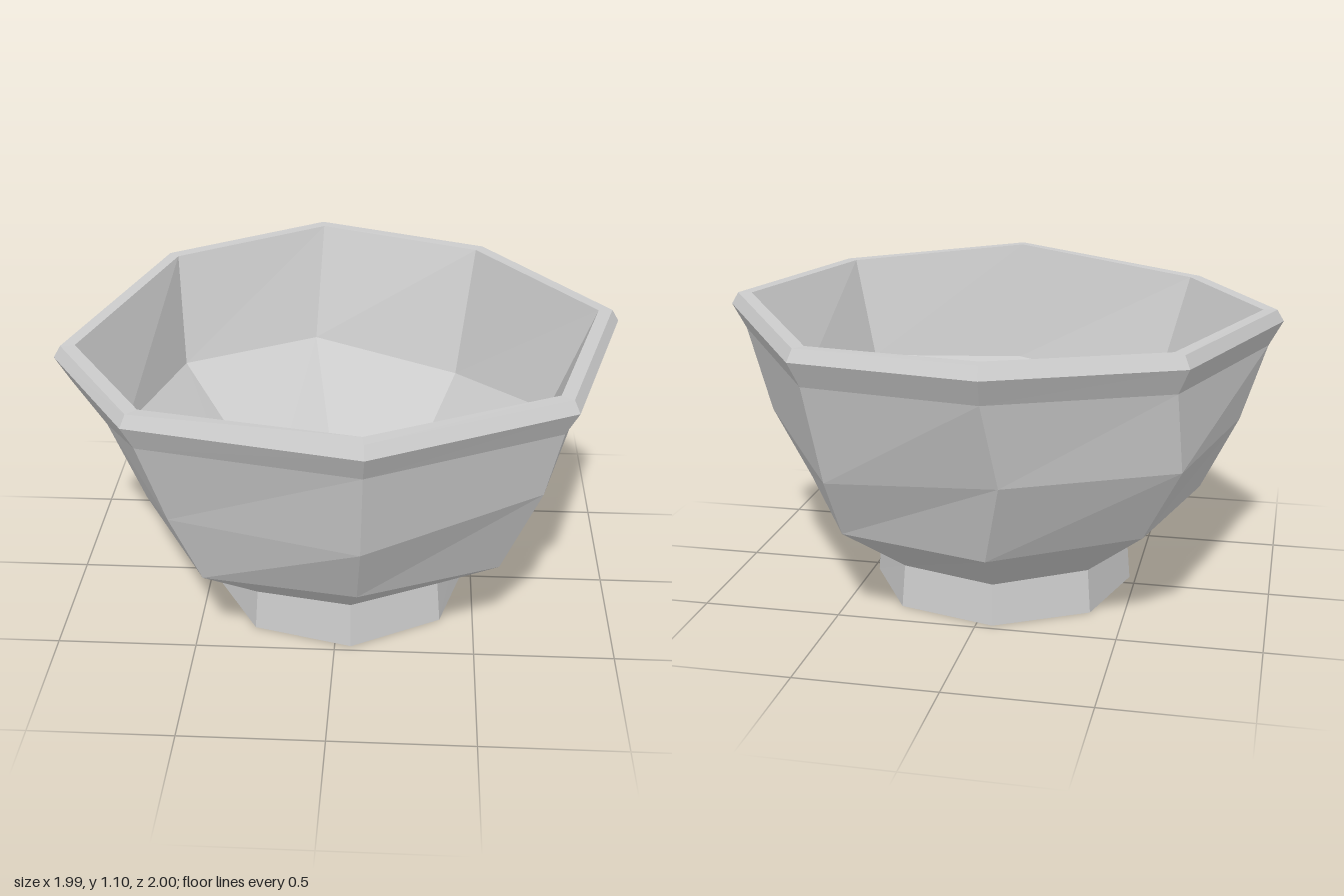
import * as THREE from 'three';

const SIDES = 8;
const START = THREE.MathUtils.degToRad(7);

// Regular octagonal ring, counted from the front towards +x, with a height per corner
function octagon(radius, heights, start = START) {
  return heights.map((y, i) => {
    const a = start + (i / SIDES) * Math.PI * 2;
    return [Math.sin(a) * radius, y, Math.cos(a) * radius];
  });
}

// Copy of a ring, scaled sideways and shifted in height
const offset = (ring, scale, dy) => ring.map(([x, y, z]) => [x * scale, y + dy, z * scale]);

// Faceted skin joining consecutive rings, with an optional fan closing one end
function skin(name, rings, cap) {
  const pos = [];
  for (let j = 0; j < rings.length - 1; j++) {
    for (let i = 0; i < SIDES; i++) {
      const k = (i + 1) % SIDES;
      const a = rings[j][i], b = rings[j][k], c = rings[j + 1][k], d = rings[j + 1][i];
      pos.push(...a, ...b, ...c, ...a, ...c, ...d);
    }
  }
  if (cap) {
    const ring = cap.end === 'first' ? rings[0] : rings[rings.length - 1];
    for (let i = 0; i < SIDES; i++) {
      const p = ring[i], q = ring[(i + 1) % SIDES];
      if (cap.end === 'first') pos.push(0, cap.y, 0, ...q, ...p);
      else pos.push(0, cap.y, 0, ...p, ...q);
    }
  }
  const geometry = new THREE.BufferGeometry();
  geometry.setAttribute('position', new THREE.Float32BufferAttribute(pos, 3));
  geometry.computeVertexNormals();
  const mesh = new THREE.Mesh(geometry, new THREE.MeshStandardMaterial({ color: 0xcccccc, flatShading: true }));
  mesh.name = name;
  return mesh;
}

export function createModel() {
  // Rings from the foot upwards; the belly and lip are uneven, as if hand-carved
  const footBottom = octagon(0.48, Array(SIDES).fill(0));
  const footTop = octagon(0.465, [0.17, 0.155, 0.18, 0.155, 0.15, 0.16, 0.18, 0.15]);
  const lowerBelly = octagon(0.73, [0.387, 0.343, 0.372, 0.343, 0.343, 0.36, 0.372, 0.345]);
  const belly = [
    [0.105, 0.648, 0.875], [0.70, 0.70, 0.55], [0.835, 0.653, -0.17], [0.47, 0.565, -0.69],
    [-0.16, 0.645, -0.85], [-0.71, 0.64, -0.56], [-0.86, 0.655, 0.05], [-0.55, 0.605, 0.62],
  ];
  const lip = [
    [0.12, 1.06, 0.995], [0.79, 1.035, 0.61], [0.99, 1.035, -0.13], [0.535, 1.01, -0.815],
    [-0.13, 1.035, -1.0], [-0.73, 1.015, -0.66], [-0.995, 0.99, 0.19], [-0.665, 1.0, 0.72],
  ];
  const neck = offset(lip, 0.95, -0.09);
  const lipTop = offset(lip, 0.975, 0.042);
  const lipInner = offset(lip, 0.925, 0.042);
  const innerBelly = offset(belly, 0.915, 0);
  const floor = offset(footTop, 0.785, 0.05);

  const bowl = new THREE.Group();
  bowl.name = 'bowl';
  bowl.add(
    skin('foot', [footBottom, footTop], { end: 'first', y: 0 }),
    skin('outerWall', [footTop, lowerBelly, belly, neck]),
    skin('rim', [neck, lip, lipTop, lipInner]),
    skin('innerWall', [lipInner, innerBelly, floor], { end: 'last', y: 0.21 }),
  );
  return bowl;
}
